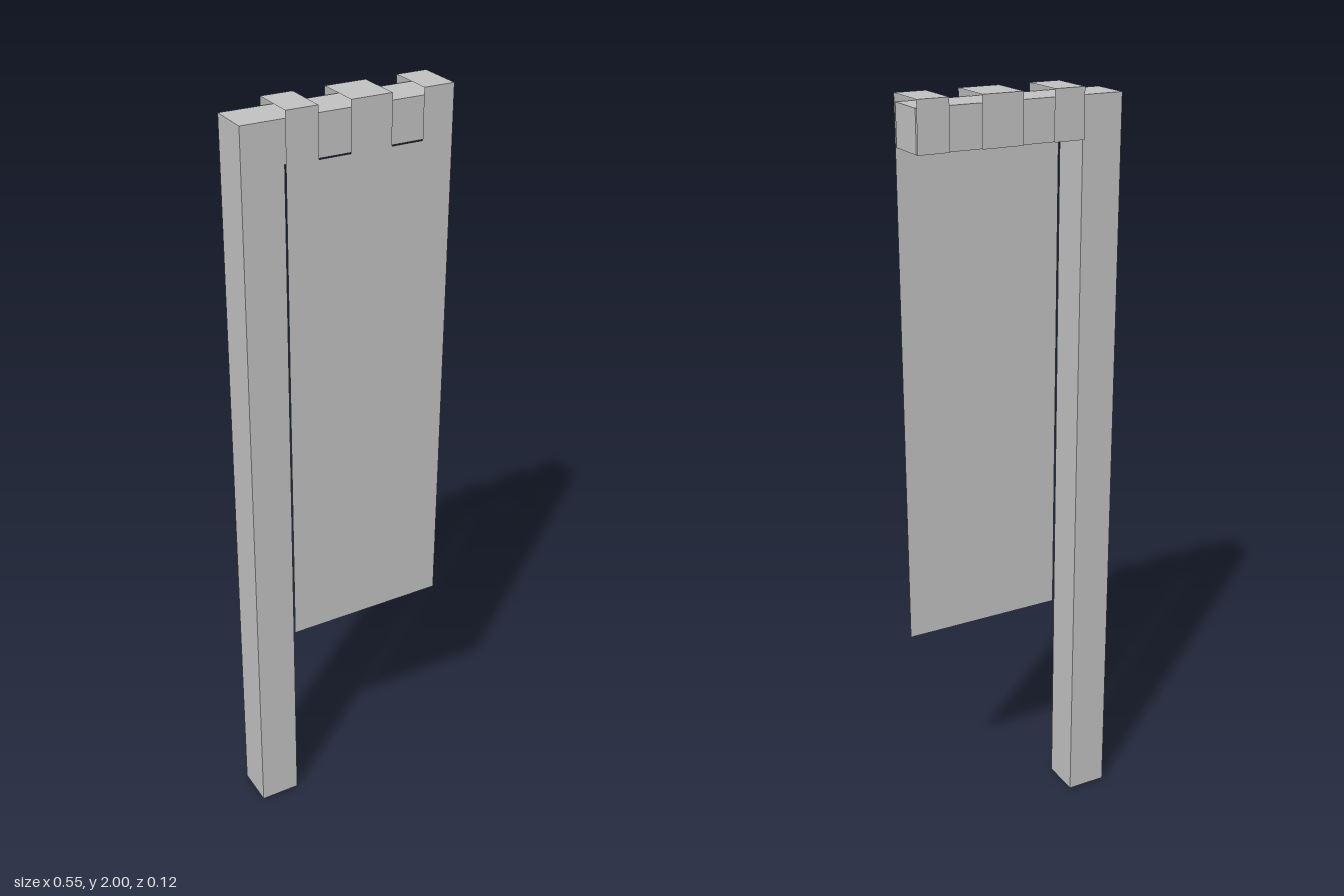
import * as THREE from 'three';
import { mergeGeometries } from 'three/addons/utils/BufferGeometryUtils.js';

export function createModel() {
  const model = new THREE.Group();
  model.name = 'hangingBanner';
  const grey = new THREE.MeshStandardMaterial({ color: 0xc0c0c0, side: THREE.DoubleSide });
  grey.name = 'plain grey';

  const half = 0.275, postRight = -0.166, depth = 0.109;
  const barTop = 1.98, barBottom = 1.875;
  const clothZ = 0.0615, clothTop = 2, clothBottom = 0.566;

  const add = (name, geometry) => {
    const mesh = new THREE.Mesh(geometry, grey);
    mesh.name = name;
    model.add(mesh);
  };

  // box between two corners in x and y, leaving out one face
  // (face order: +x, -x, +y, -y, +z, -z)
  const openBox = (x0, x1, y0, y1, openFace) => {
    const g = new THREE.BoxGeometry(x1 - x0, y1 - y0, depth);
    g.translate((x0 + x1) / 2, (y0 + y1) / 2, 0);
    const index = Array.from(g.index.array);
    index.splice(openFace * 6, 6);
    g.setIndex(index);
    g.clearGroups();
    return g;
  };

  // upright sheet facing front, or back when z is negative
  const sheet = (x0, x1, y0, y1, z) => {
    const g = new THREE.PlaneGeometry(x1 - x0, y1 - y0);
    if (z < 0) g.rotateY(Math.PI);
    return g.translate((x0 + x1) / 2, (y0 + y1) / 2, z);
  };

  // hollow post, open at the foot, and the arm that meets it
  add('post', openBox(-half, postRight, 0, barTop, 3));
  add('crossbar', openBox(postRight, half, barBottom, barTop, 1));

  // cloth hanging in front of the arm
  add('bannerCloth', sheet(postRight, half, clothBottom, barBottom, clothZ));

  // cloth loops folded over the arm, open at the sides
  for (const [x0, x1] of [[postRight, -0.083], [0, 0.109], [0.193, half]]) {
    const top = new THREE.PlaneGeometry(x1 - x0, clothZ * 2);
    top.rotateX(-Math.PI / 2).translate((x0 + x1) / 2, clothTop, 0);
    add('bannerLoop', mergeGeometries([
      sheet(x0, x1, barBottom, clothTop, clothZ),
      top,
      sheet(x0, x1, barBottom, clothTop, -clothZ),
    ]));
  }

  return model;
}
